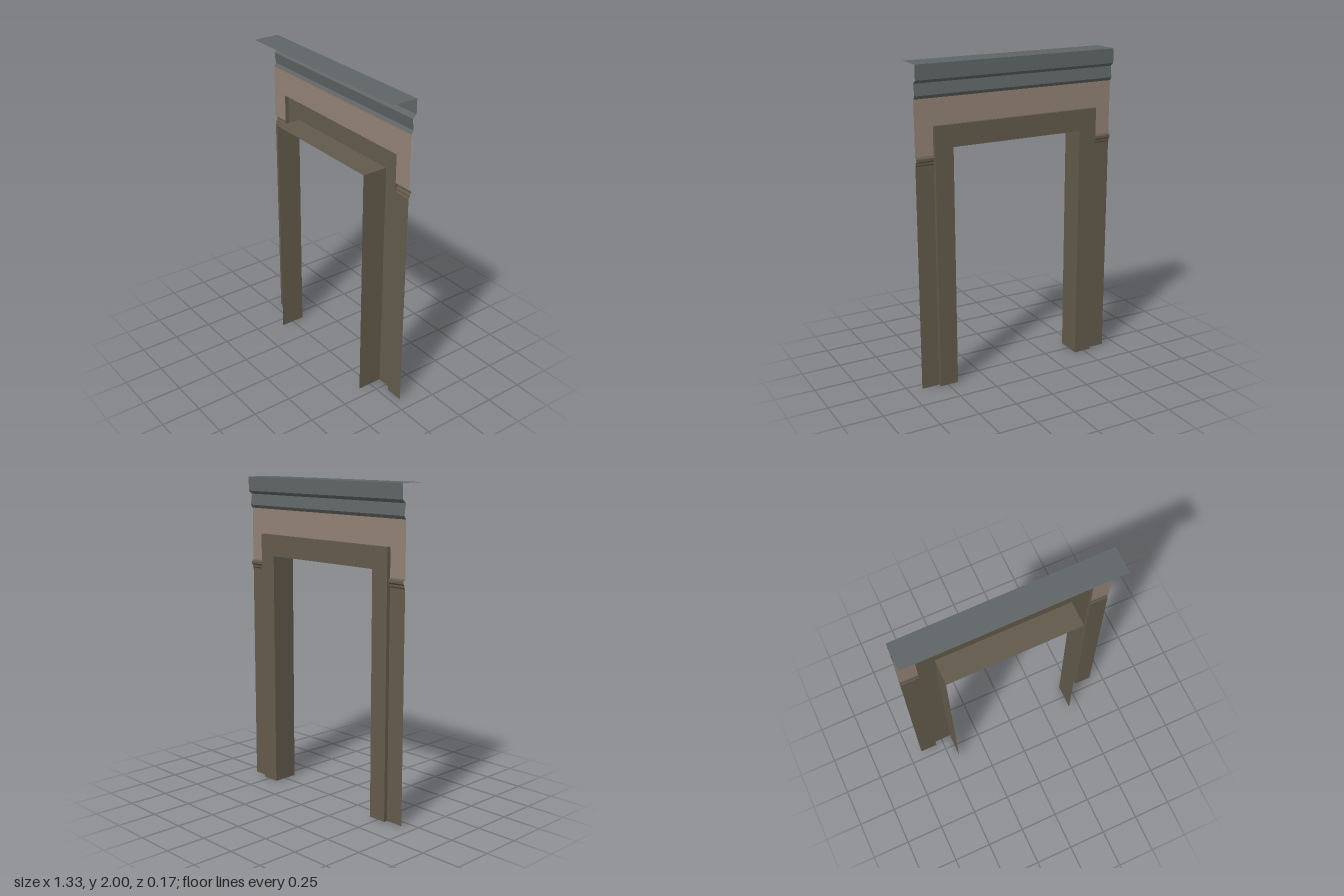
import * as THREE from 'three';

const HALF = 0.665;    // half the overall width
const WALL = -0.055;   // z of the wall plane
const INNER = 0.55;    // half width of the casing's outer edge
const CASING_TOP = 1.64;

function material(name, color) {
  const m = new THREE.MeshStandardMaterial({ color, side: THREE.DoubleSide });
  m.name = name;
  return m;
}

// Flat-faced sheet stretched between successive rows of [x, y, z] points.
function sheet(rows) {
  const pos = [];
  for (let r = 0; r < rows.length - 1; r++) {
    for (let i = 0; i < rows[r].length - 1; i++) {
      const a = rows[r][i], b = rows[r][i + 1];
      const c = rows[r + 1][i + 1], d = rows[r + 1][i];
      pos.push(...a, ...b, ...c, ...a, ...c, ...d);
    }
  }
  const g = new THREE.BufferGeometry();
  g.setAttribute('position', new THREE.Float32BufferAttribute(pos, 3));
  g.computeVertexNormals();
  return g;
}

// Profile of [z, y] points drawn straight along x.
const strip = (x0, x1, profile) =>
  sheet(profile.map(([z, y]) => [[x0, y, z], [x1, y, z]]));

// Section of [half width, top, z] points mitred around the doorway.
const archSweep = (section) =>
  sheet(section.map(([w, h, z]) => [[-w, 0, z], [-w, h, z], [w, h, z], [w, 0, z]]));

export function createModel() {
  const group = new THREE.Group();
  group.name = 'doorSurround';
  const olive = material('olive brown', 0x625a4b);
  const tan = material('tan', 0x938174);
  const slate = material('slate', 0x5f6566);

  const add = (name, geometry, mat) => {
    const mesh = new THREE.Mesh(geometry, mat);
    mesh.name = name;
    group.add(mesh);
  };

  // Cornice: flat cap, upright fascia, then a stepped face down to the frieze
  add('cornice', strip(-HALF, HALF, [
    [0.083, 2], [-0.085, 2], [-0.085, 1.91], [-0.06, 1.89], [-0.07, 1.82], [WALL, 1.8],
  ]), slate);

  // Frieze: wall panel notched around the head of the casing
  const shape = new THREE.Shape([
    [-HALF, 1.465], [-INNER, 1.465], [-INNER, CASING_TOP], [INNER, CASING_TOP],
    [INNER, 1.465], [HALF, 1.465], [HALF, 1.8], [-HALF, 1.8],
  ].map(([x, y]) => new THREE.Vector2(x, y)));
  const frieze = new THREE.ShapeGeometry(shape);
  frieze.rotateY(Math.PI).translate(0, 0, WALL);
  add('frieze', frieze, tan);

  // Casing: outer return and flat face
  add('casing', archSweep([
    [INNER, CASING_TOP, WALL], [INNER, CASING_TOP, -0.08], [0.433, 1.506, -0.08],
  ]), olive);

  // Reveal: deep lining of the opening
  add('reveal', archSweep([[0.433, 1.506, -0.08], [0.433, 1.506, 0.083]]), olive);

  // Side pilasters with a small capital moulding
  for (const [side, x0, x1] of [['left', INNER, HALF], ['right', -HALF, -INNER]]) {
    add(side + 'Capital', strip(x0, x1, [
      [WALL, 1.465], [-0.07, 1.455], [-0.07, 1.44], [-0.061, 1.43], [-0.061, 1.418], [WALL, 1.41],
    ]), olive);
    add(side + 'Pilaster', strip(x0, x1, [[WALL, 1.41], [WALL, 0]]), olive);
  }
  return group;
}
